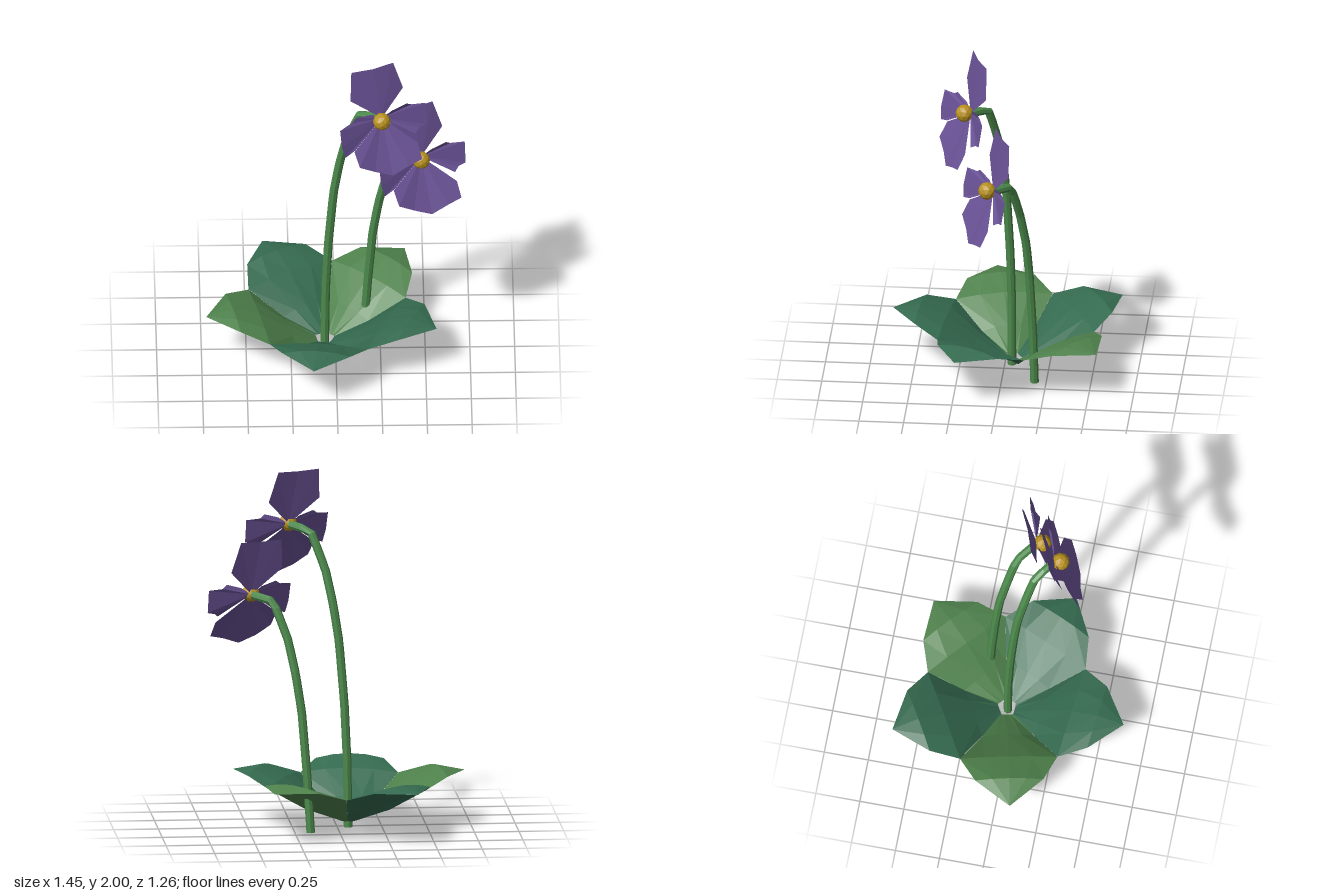
import * as THREE from 'three';

const flat = (name, color) => {
  const m = new THREE.MeshStandardMaterial({ color, flatShading: true, side: THREE.DoubleSide });
  m.name = name;
  return m;
};

// Faceted surface from triangles given as a list of points
function facets(points) {
  const g = new THREE.BufferGeometry();
  g.setAttribute('position', new THREE.Float32BufferAttribute(points.flat(), 3));
  g.computeVertexNormals();
  return g;
}

// Leaf along +x: each row is [distance, half width, midrib height, edge height]
const LEAF_ROWS = [
  [0.045, 0.035, 0.04, 0.045],
  [0.2, 0.145, 0.145, 0.115],
  [0.375, 0.272, 0.265, 0.24],
  [0.525, 0.19, 0.32, 0.292],
  [0.678, 0.001, 0.29, 0.289],
];
function leafGeometry() {
  const grid = LEAF_ROWS.map(([u, w, mid, edge]) =>
    [-1, -0.5, 0, 0.5, 1].map(t => [u, mid + (edge - mid) * t * t, w * t]));
  const tris = [];
  for (let i = 0; i < grid.length - 1; i++) {
    for (let j = 0; j < 4; j++) {
      const a = grid[i][j], b = grid[i][j + 1], c = grid[i + 1][j], d = grid[i + 1][j + 1];
      tris.push(a, b, c, b, d, c);
    }
  }
  return facets(tris);
}

// Petal: a fan of creases from the flower's heart to the ruffled rim
const HUB = [0, 0, -0.035];
function petalGeometry(rim) {
  const tris = [];
  for (let i = 0; i < rim.length - 1; i++) tris.push(HUB, rim[i], rim[i + 1]);
  return facets(tris);
}
const PETALS = {
  upperPetal: [[0.12, 0.14, -0.13], [0.065, 0.31, -0.13], [-0.05, 0.305, -0.075],
    [-0.17, 0.31, -0.035], [-0.175, 0.14, 0]],
  rightPetal: [[-0.06, 0.04, -0.01], [-0.145, 0.06, 0.05], [-0.17, 0.04, 0.07], [-0.235, 0.03, 0.13],
    [-0.225, -0.07, 0.15], [-0.205, -0.14, 0.15], [-0.15, -0.12, 0.11]],
  leftPetal: [[0.19, -0.12, -0.05], [0.21, -0.1, -0.08], [0.25, -0.09, -0.1], [0.245, 0.04, -0.12],
    [0.165, 0.045, -0.1], [0.14, 0.065, -0.08], [0.06, 0.04, -0.05]],
  lowerPetal: [[-0.155, -0.13, 0.11], [-0.125, -0.21, 0.15], [-0.04, -0.26, 0.12], [0.06, -0.3, 0.1],
    [0.15, -0.265, 0.06], [0.225, -0.245, 0.02], [0.2, -0.16, -0.02]],
};

// Stem of the tall flower; the short one is the same stem, lowered
const STEM = [[-0.055, 0.37, -0.04], [-0.04, 0.7, -0.032], [-0.012, 1.05, -0.015], [0.02, 1.26, 0],
  [0.06, 1.45, 0.03], [0.1, 1.56, 0.052], [0.14, 1.665, 0.078], [0.175, 1.672, 0.105], [0.245, 1.685, 0.165]];

export function createModel() {
  const purple = flat('petal purple', 0x6a5296);
  const gold = flat('centre gold', 0xb8921f);
  const stemGreen = flat('stem green', 0x4c8a4c);
  const lightLeaf = flat('light leaf green', 0x4f824c);
  const darkLeaf = flat('blue leaf green', 0x356b50);

  const model = new THREE.Group();
  model.name = 'floweringPlant';
  const add = (parent, name, geometry, material) => {
    const mesh = new THREE.Mesh(geometry, material);
    mesh.name = name;
    parent.add(mesh);
    return mesh;
  };

  // Rosette of five leaves
  const rosette = new THREE.Group();
  rosette.name = 'leafRosette';
  rosette.position.set(-0.06, 0, -0.044);
  model.add(rosette);
  const leafGeo = leafGeometry();
  [darkLeaf, darkLeaf, lightLeaf, darkLeaf, lightLeaf].forEach((material, i) => {
    const leaf = add(rosette, 'leaf' + (i + 1), leafGeo, material);
    leaf.rotation.y = -THREE.MathUtils.degToRad(24 + 72 * i);
  });

  // Two flowers, each with stem, petals and centre
  const petalGeos = Object.entries(PETALS).map(([name, rim]) => [name, petalGeometry(rim)]);
  const ballGeo = new THREE.IcosahedronGeometry(0.05, 1);
  for (const [name, dx, dy, dz] of [['tallFlower', 0, 0, 0], ['shortFlower', 0.222, -0.37, -0.145]]) {
    const plant = new THREE.Group();
    plant.name = name;
    model.add(plant);

    const pts = STEM.map(([x, y, z]) => new THREE.Vector3(x + dx, y + dy, z + dz));
    const foot = new THREE.Vector3(-0.06 + dx, 0, -0.04 + dz);
    if (pts[0].y > 0.05) pts.unshift(foot);
    else pts[0].copy(foot);
    const path = new THREE.CurvePath();
    for (let i = 0; i < pts.length - 1; i++) path.add(new THREE.LineCurve3(pts[i], pts[i + 1]));
    add(plant, 'stem', new THREE.TubeGeometry(path, 24, 0.024, 8), stemGreen);
    const cap = add(plant, 'stemFoot', new THREE.CircleGeometry(0.024, 8), stemGreen);
    cap.rotation.x = Math.PI / 2;
    cap.position.copy(foot);

    const head = new THREE.Group();
    head.name = 'bloom';
    head.position.set(0.255 + dx, 1.69 + dy, 0.2 + dz);
    plant.add(head);
    petalGeos.forEach(([petal, geo]) => add(head, petal, geo, purple));
    add(head, 'flowerCentre', ballGeo, gold);
  }
  return model;
}
